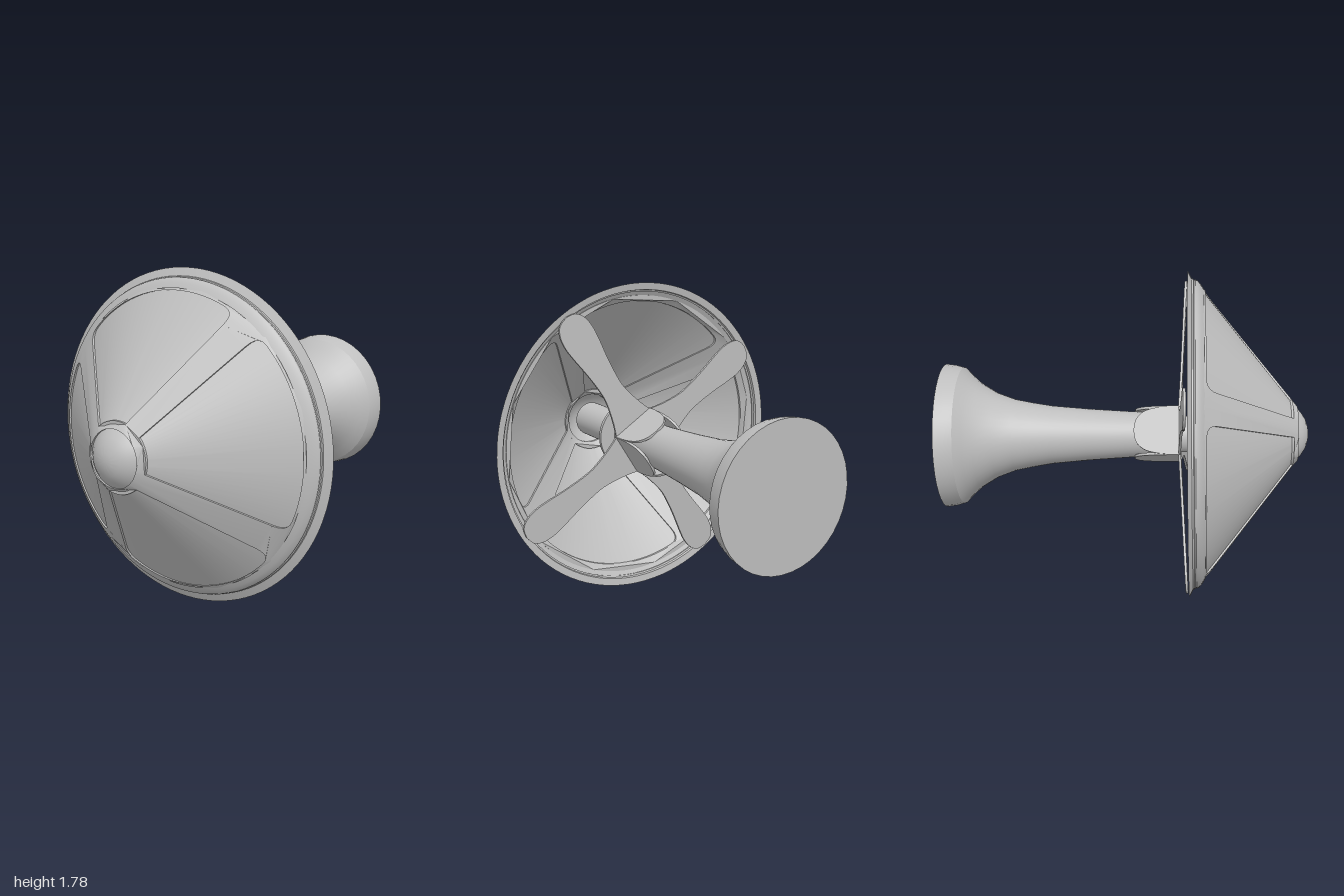
import * as THREE from 'three';
import { toCreasedNormals } from 'three/addons/utils/BufferGeometryUtils.js';

const grey = new THREE.MeshStandardMaterial({ color: 0xbfbfbf, side: THREE.DoubleSide });
grey.name = 'lightGrey';

const ARM_ANGLE = THREE.MathUtils.degToRad(57);
// height of the cone surface along the axis at radius r
const coneHeight = (r) => -0.56 + (r - 0.17) * 0.785;

function part(name, geometry, crease = 0.5) {
  const mesh = new THREE.Mesh(toCreasedNormals(geometry, crease), grey);
  mesh.name = name;
  return mesh;
}

// profile is a list of [radius, height]
function turned(name, profile, sides = 64) {
  return part(name, new THREE.LatheGeometry(profile.map(([r, y]) => new THREE.Vector2(r, y)), sides));
}

// rounded window between two ribs, as points in the flat plane
function windowPath(turn) {
  const r0 = 0.185, r1 = 0.78, c = 0.065;
  const points = [];
  const add = (r, k) => {
    const half = Math.PI / 4 - Math.asin((0.05 + (r - 0.17) * 0.06) / r);
    const a = turn + k * half;
    points.push(new THREE.Vector2(r * Math.cos(a), r * Math.sin(a)));
  };
  const corner = (t, side) => add(r1 - c * (1 - t) ** 2, side * (1 - 0.12 * t * t));
  for (let i = 0; i <= 8; i++) add(r0, 1 - i / 4);
  for (let i = 0; i <= 5; i++) corner(i / 5, -1);
  for (let i = 1; i < 20; i++) add(r1, 0.88 * (i / 10 - 1));
  for (let i = 5; i >= 0; i--) corner(i / 5, 1);
  return new THREE.Path(points);
}

// ribbed frame: flat ring with four windows, bent onto the cone
function coneFrame() {
  const ring = (r, n) => Array.from({ length: n }, (_, i) =>
    new THREE.Vector2(r * Math.cos(i / n * 2 * Math.PI), r * Math.sin(i / n * 2 * Math.PI)));
  const shape = new THREE.Shape(ring(0.815, 96));
  shape.holes.push(new THREE.Path(ring(0.15, 48)));
  for (let i = 0; i < 4; i++) shape.holes.push(windowPath(Math.PI / 4 + i * Math.PI / 2));
  const depth = 0.026;
  const geometry = new THREE.ExtrudeGeometry(shape, { depth, bevelEnabled: false });
  geometry.rotateX(-Math.PI / 2);
  const p = geometry.attributes.position;
  for (let i = 0; i < p.count; i++) {
    p.setY(i, p.getY(i) - depth / 2 + coneHeight(Math.hypot(p.getX(i), p.getZ(i))));
  }
  geometry.computeVertexNormals();
  return part('coneFrame', geometry);
}

// symmetric plate outline from [halfWidth, length] points, ending in a round tip
function plate(name, sidePoints) {
  const right = sidePoints.map(([w, l]) => new THREE.Vector2(w, l));
  const curve = new THREE.SplineCurve(right).getPoints(28);
  const left = curve.slice(0, -1).reverse().map((v) => new THREE.Vector2(-v.x, v.y));
  const geometry = new THREE.ExtrudeGeometry(new THREE.Shape([...curve, ...left]),
    { depth: 0.014, bevelEnabled: false });
  return part(name, geometry);
}

// one bracket: a blade reaching to the rim and a pad lying along the handle
function supportArm() {
  const arm = new THREE.Group();
  arm.name = 'supportArm';
  const blade = plate('armBlade', [[0.13, 0], [0.1, 0.08], [0.072, 0.19], [0.066, 0.27], [0.076, 0.4],
    [0.094, 0.53], [0.1, 0.61], [0.088, 0.68], [0.055, 0.725], [0, 0.74]]);
  blade.rotation.x = Math.PI / 2 + 0.05;
  blade.position.set(0, 0.056, 0.13);
  const pad = plate('armPad', [[0.132, 0], [0.13, 0.07], [0.122, 0.14], [0.102, 0.2],
    [0.06, 0.24], [0, 0.253]]);
  pad.position.set(0, 0.045, 0.12);
  arm.add(blade, pad);
  return arm;
}

export function createModel() {
  const model = new THREE.Group();
  model.name = 'coneOnHandle';

  // everything is built around a slightly tilted axis, local y running towards the handle end
  const body = new THREE.Group();
  body.name = 'tiltedBody';
  body.position.set(-0.352, 0.895, 0);
  body.rotation.set(0, -0.024, -Math.PI / 2 - 0.031);
  model.add(body);

  // flared handle with a flat end
  body.add(turned('handle', [[0, 0.05], [0.112, 0.05], [0.122, 0.2], [0.126, 0.31], [0.142, 0.55],
    [0.16, 0.75], [0.178, 0.86], [0.198, 0.96], [0.235, 1.06], [0.29, 1.15], [0.335, 1.2],
    [0.377, 1.24], [0.39, 1.285], [0.397, 1.338], [0, 1.338]], 40));

  // hub rod and collar inside the cone
  body.add(turned('hubRod', [[0.1, -0.56], [0.1, 0.06]], 40));
  body.add(turned('hubCollar', [[0, -0.125], [0.19, -0.125], [0.19, -0.105], [0, -0.105]], 48));

  // cone: thin skin, raised frame, rim and nose
  body.add(turned('coneSkin', [[0.15, coneHeight(0.15)], [0.81, coneHeight(0.81)]], 96));
  const frame = coneFrame();
  frame.rotation.y = -ARM_ANGLE;
  body.add(frame);
  body.add(turned('rim', [[0.79, -0.085], [0.815, -0.07], [0.836, -0.052], [0.841, -0.04], [0.838, -0.025],
    [0.89, 0], [0.85, -0.006], [0.845, -0.03], [0.793, -0.058]], 96));
  body.add(turned('nose', [[0, -0.65], [0.04, -0.645], [0.08, -0.632], [0.115, -0.61], [0.145, -0.583],
    [0.17, -0.555], [0.178, -0.553], [0.178, -0.54]], 48));

  // four brackets around the handle
  for (let i = 0; i < 4; i++) {
    const arm = supportArm();
    arm.rotation.y = -ARM_ANGLE + i * Math.PI / 2;
    body.add(arm);
  }
  return model;
}
